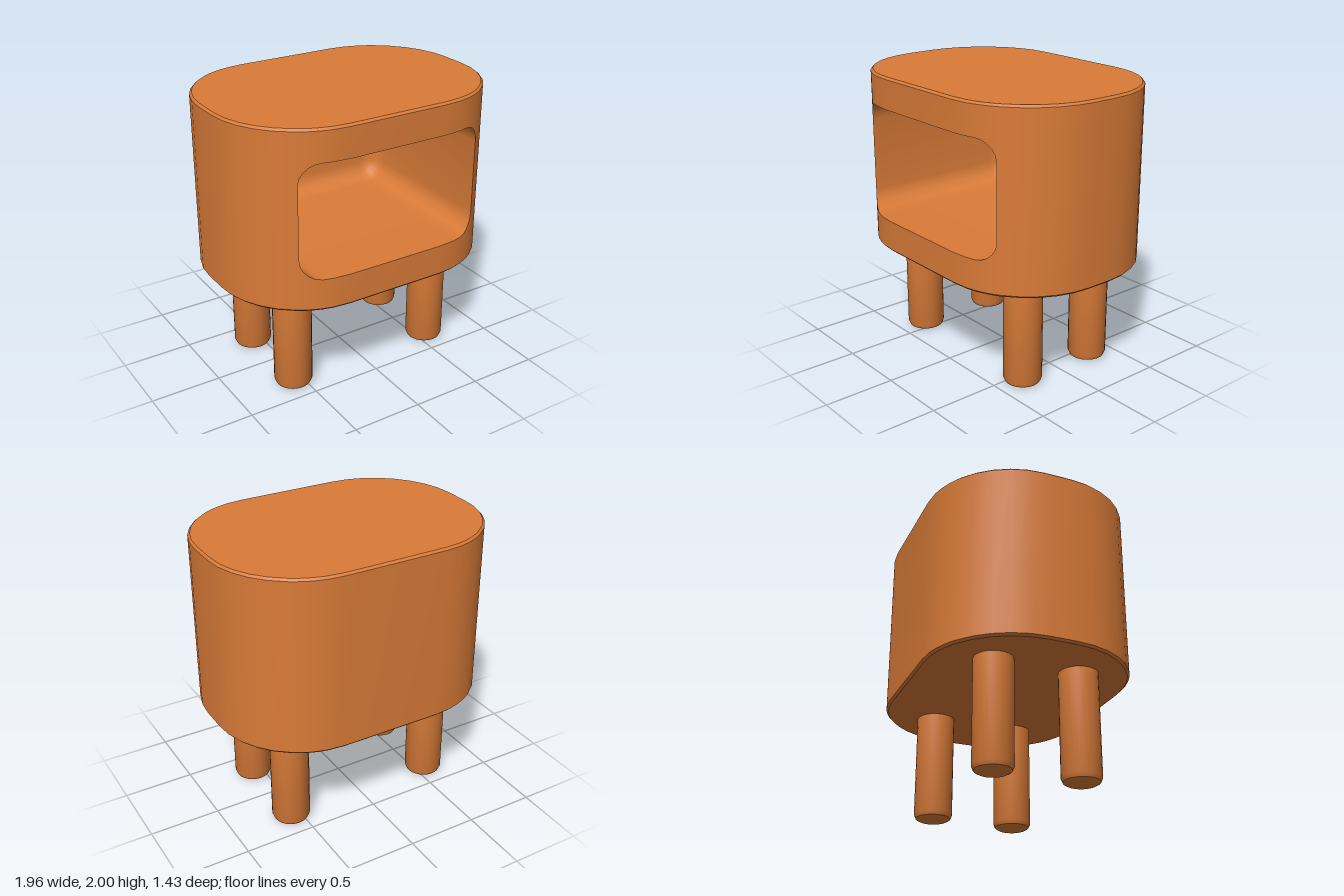
import * as THREE from 'three';
import { toCreasedNormals } from 'three/addons/utils/BufferGeometryUtils.js';

const BODY = { hw: 0.978, hh: 0.715, r: 0.62 };   // plan outline (x, z)
const HOLE = { hw: 0.685, hh: 0.397, r: 0.14 };   // opening outline (x, y)
const Y0 = 0.76, Y1 = 2, BEVEL = 0.015;
const HOLE_Y = 1.382, BACK = -0.55, FILLET = 0.13;

// Height of a rounded rectangle's edge above its middle at a given x
function edgeAt({ hw, hh, r }, x) {
  const d = Math.min(Math.max(0, Math.abs(x) - (hw - r)), r);
  return hh - r + Math.sqrt(r * r - d * d);
}

// Rounded rectangle as points with outward normals, plus extra points at given xs
function outline(rect, steps, extraXs = []) {
  const { hw, hh, r } = rect, pts = [];
  for (const sx of [1, -1]) for (const sy of [1, -1]) {
    for (let i = 0; i <= steps; i++) {
      const t = (i / steps) * Math.PI / 2, nx = sx * Math.cos(t), ny = sy * Math.sin(t);
      pts.push({ x: sx * (hw - r) + r * nx, y: sy * (hh - r) + r * ny, nx, ny });
    }
    for (const x of extraXs) {
      if (Math.abs(x) >= hw - 1e-6) continue;
      const y = edgeAt(rect, x), nx = Math.sign(x) * Math.max(0, Math.abs(x) - (hw - r)) / r;
      pts.push({ x, y: sy * y, nx, ny: sy * Math.sqrt(1 - nx * nx) });
    }
  }
  pts.sort((a, b) => Math.atan2(a.y, a.x) - Math.atan2(b.y, b.x));
  return pts.filter((p, i) => {
    const q = pts[(i + 1) % pts.length];
    return Math.hypot(p.x - q.x, p.y - q.y) > 1e-4;
  });
}

// Collects triangles and quads into a geometry with creased normals
function surface() {
  const pos = [];
  const tri = (a, b, c) => pos.push(...a, ...b, ...c);
  return {
    tri,
    quad(a, b, c, d) { tri(a, b, c); tri(a, c, d); },
    build() {
      const g = new THREE.BufferGeometry();
      g.setAttribute('position', new THREE.Float32BufferAttribute(pos, 3));
      return toCreasedNormals(g, 0.5);
    },
  };
}

const xsOf = (pts) => pts.map((p) => p.x);

// Outer shell with the front opening left out
function shellGeometry(plan) {
  const s = surface();
  const at = (p, y, inset = 0) => [p.x - p.nx * inset, y, p.y - p.ny * inset];
  const lo = Y0 + BEVEL, hi = Y1 - BEVEL;
  plan.forEach((p, i) => {
    const q = plan[(i + 1) % plan.length];
    const inFront = (v) => v.y > 0 && Math.abs(v.x) < HOLE.hw + 1e-4;
    if (inFront(p) && inFront(q)) {
      const hp = edgeAt(HOLE, p.x), hq = edgeAt(HOLE, q.x);
      s.quad(at(q, lo), at(p, lo), at(p, HOLE_Y - hp), at(q, HOLE_Y - hq));
      s.quad(at(q, HOLE_Y + hq), at(p, HOLE_Y + hp), at(p, hi), at(q, hi));
    } else {
      s.quad(at(q, lo), at(p, lo), at(p, hi), at(q, hi));
    }
    // bevelled rims and flat ends
    s.quad(at(q, hi), at(p, hi), at(p, Y1, BEVEL), at(q, Y1, BEVEL));
    s.quad(at(q, Y0, BEVEL), at(p, Y0, BEVEL), at(p, lo), at(q, lo));
    s.tri([0, Y1, 0], at(q, Y1, BEVEL), at(p, Y1, BEVEL));
    s.tri([0, Y0, 0], at(p, Y0, BEVEL), at(q, Y0, BEVEL));
  });
  return s.build();
}

// Inside of the compartment: straight walls, rounded into the back panel
function cavityGeometry(hole) {
  const s = surface(), steps = 6;
  const ring = (z, inset) => hole.map((p) =>
    [p.x - p.nx * inset, HOLE_Y + p.y - p.ny * inset, z ?? edgeAt(BODY, p.x)]);
  const rings = [ring(null, 0)];
  for (let i = 0; i <= steps; i++) {
    const t = (i / steps) * Math.PI / 2;
    rings.push(ring(BACK + FILLET * (1 - Math.sin(t)), FILLET * (1 - Math.cos(t))));
  }
  const last = rings[rings.length - 1];
  hole.forEach((_, i) => {
    const j = (i + 1) % hole.length;
    for (let k = 0; k < rings.length - 1; k++) {
      s.quad(rings[k][i], rings[k][j], rings[k + 1][j], rings[k + 1][i]);
    }
    s.tri([0, HOLE_Y, BACK], last[i], last[j]);
  });
  return s.build();
}

export function createModel() {
  const model = new THREE.Group();
  model.name = 'bedsideCabinet';
  const wood = new THREE.MeshStandardMaterial({ color: 0xd97b38 });
  wood.name = 'warm orange wood';
  const add = (name, geometry, x = 0, z = 0) => {
    const mesh = new THREE.Mesh(geometry, wood);
    mesh.name = name;
    mesh.position.set(x, 0, z);
    model.add(mesh);
  };

  // Body and compartment share the same columns along the opening
  const plan = outline(BODY, 8, xsOf(outline(HOLE, 5)));
  const hole = outline(HOLE, 5, xsOf(outline(BODY, 8)));
  add('cabinetBody', shellGeometry(plan));
  add('compartment', cavityGeometry(hole));

  // Four round legs with softened feet
  const profile = [[0, 0], [0.1, 0], [0.122, 0.012], [0.134, 0.04], [0.134, Y0 + 0.01]]
    .map(([x, y]) => new THREE.Vector2(x, y));
  const leg = toCreasedNormals(new THREE.LatheGeometry(profile, 24), 0.6);
  for (const [side, x] of [['Left', 0.566], ['Right', -0.566]]) {
    add(`front${side}Leg`, leg, x, 0.302);
    add(`back${side}Leg`, leg, x, -0.302);
  }
  return model;
}
